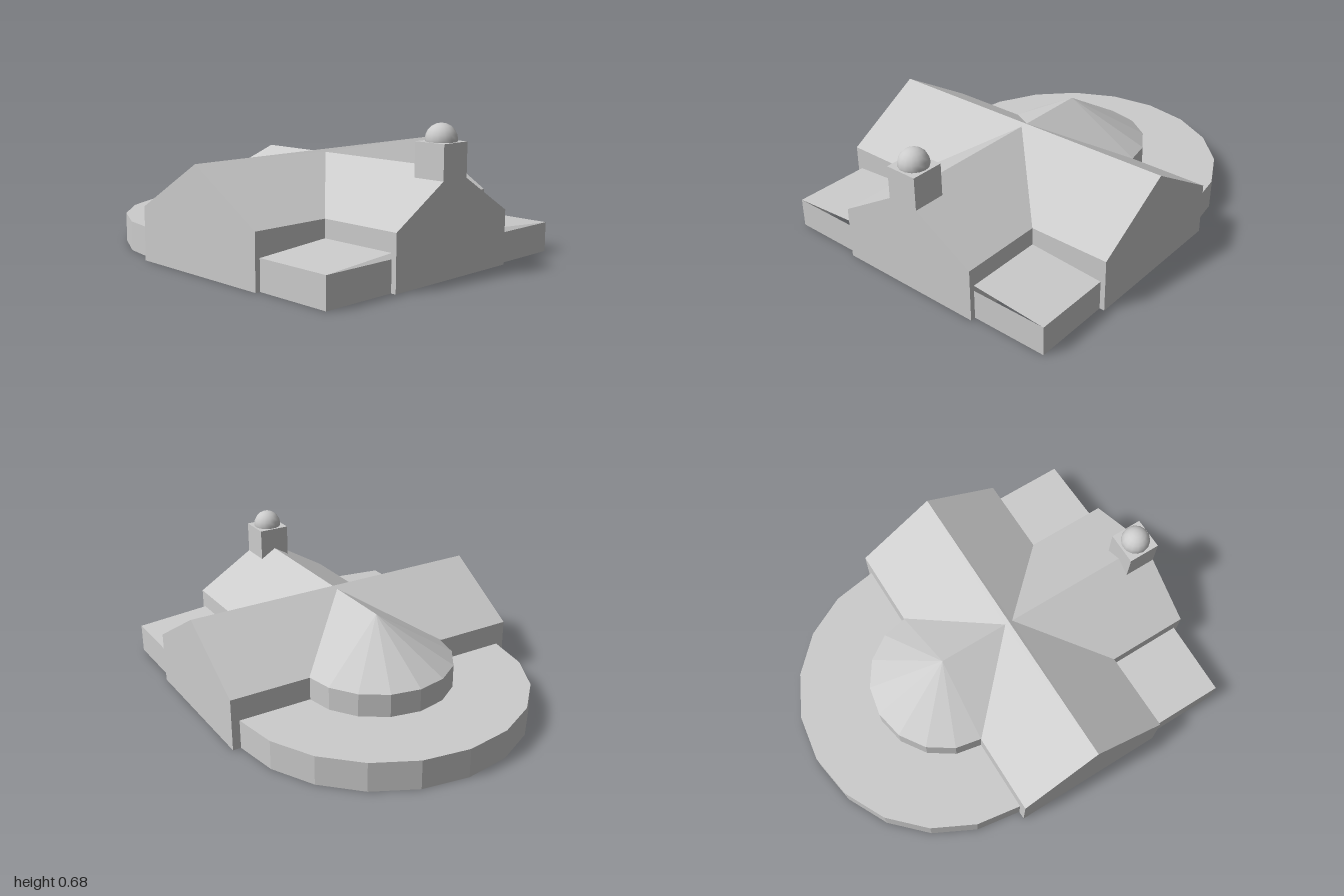
import * as THREE from 'three';

export function createModel() {
  const stone = new THREE.MeshStandardMaterial({ color: 0xcccccc, side: THREE.DoubleSide });
  stone.name = 'pale grey';

  const root = new THREE.Group();
  root.name = 'church';
  root.rotation.y = -0.102;
  const body = new THREE.Group();
  body.name = 'building';
  body.position.x = 0.018;
  root.add(body);

  function add(name, geometry, x = 0, y = 0, z = 0) {
    const mesh = new THREE.Mesh(geometry, stone);
    mesh.name = name;
    mesh.position.set(x, y, z);
    body.add(mesh);
    return mesh;
  }
  const flat = (geometry) => {
    const g = geometry.toNonIndexed();
    g.computeVertexNormals();
    return g;
  };
  // Flat polygons of the left half, mirrored to the right half
  function addMirrored(name, polygons) {
    const points = [];
    for (const side of [1, -1]) {
      for (const polygon of polygons) {
        const p = polygon.map(([x, y, z]) => [x * side, y, z]);
        if (side < 0) p.reverse();
        // keep the fan centred on the first listed corner
        if (side < 0) p.unshift(p.pop());
        for (let i = 1; i < p.length - 1; i++) points.push(...p[0], ...p[i], ...p[i + 1]);
      }
    }
    const g = new THREE.BufferGeometry();
    g.setAttribute('position', new THREE.Float32BufferAttribute(points, 3));
    g.computeVertexNormals();
    add(name, g);
  }
  // Upright rectangle between two ground points
  const wall = (x0, z0, x1, z1, h) => [[x0, 0, z0], [x1, 0, z1], [x1, h, z1], [x0, h, z0]];

  const EAVE = 0.26, RIDGE = 0.488, TOP = 0.5;
  const T = 0.784, N = 0.379, W = 0.759;          // half widths: transept, nave, wings
  const FRONT = 0.945, TF = 0.529, TB = -0.266, TR = 0.13, DRUM = -0.25;

  // Transept
  addMirrored('transeptWalls', [
    [[T, 0, TF], [T, 0, TB], [T, EAVE, TB], [T, TOP, TR], [T, EAVE, TF]],
    wall(0, TF, T, TF, EAVE),
    wall(T, TB, 0, TB, EAVE),
  ]);
  addMirrored('transeptRoof', [
    [[T, TOP, TR], [0, TOP, TR], [0, RIDGE, 0.149], [N, EAVE, TF], [T, EAVE, TF]],
    [[T, TOP, TR], [T, EAVE, TB], [N, EAVE, TB], [0, RIDGE, 0.11], [0, TOP, TR]],
  ]);

  // Nave with its front gable
  addMirrored('naveWalls', [
    wall(N, FRONT, N, DRUM, EAVE),
    [[0, 0, FRONT], [N, 0, FRONT], [N, EAVE, FRONT], [0, RIDGE, FRONT]],
  ]);
  addMirrored('naveRoof', [
    [[0, RIDGE, 0.149], [0, RIDGE, FRONT], [N, EAVE, FRONT], [N, EAVE, TF]],
    [[0, RIDGE, 0.11], [N, EAVE, TB], [0, RIDGE, DRUM]],
  ]);

  // Low wings beside the nave, with lean-to roofs open at the front
  addMirrored('wingWalls', [
    wall(N, 0.92, W, 0.92, 0.145),
    wall(W, 0.92, W, TF, 0.145),
  ]);
  addMirrored('wingRoofs', [
    [[N, 0.172, TF], [N, 0.172, 0.92], [W, 0.145, 0.92], [W, 0.145, TF]],
  ]);

  // Round choir and its conical roof
  add('choirWall', flat(new THREE.CylinderGeometry(N, N, EAVE, 8, 1, true, Math.PI / 2, Math.PI)), 0, EAVE / 2, DRUM);
  add('choirRoof', flat(new THREE.ConeGeometry(N, RIDGE - EAVE, 8, 1, true, Math.PI / 2, Math.PI)),
    0, (RIDGE + EAVE) / 2, DRUM);

  // Low ambulatory around the choir
  add('ambulatoryWall', flat(new THREE.CylinderGeometry(0.744, 0.744, 0.145, 10, 1, true, Math.PI / 2, Math.PI)),
    0, 0.0725, -0.262);
  add('ambulatoryRoof', new THREE.CircleGeometry(0.744, 10, 0, Math.PI).rotateX(-Math.PI / 2), 0, 0.145, -0.262);

  // Bell tower and dome
  add('tower', new THREE.BoxGeometry(0.161, 0.6, 0.161), 0, 0.3, FRONT - 0.0805);
  add('dome', new THREE.SphereGeometry(0.072, 14, 10), 0, 0.61, FRONT - 0.0805);

  return root;
}
